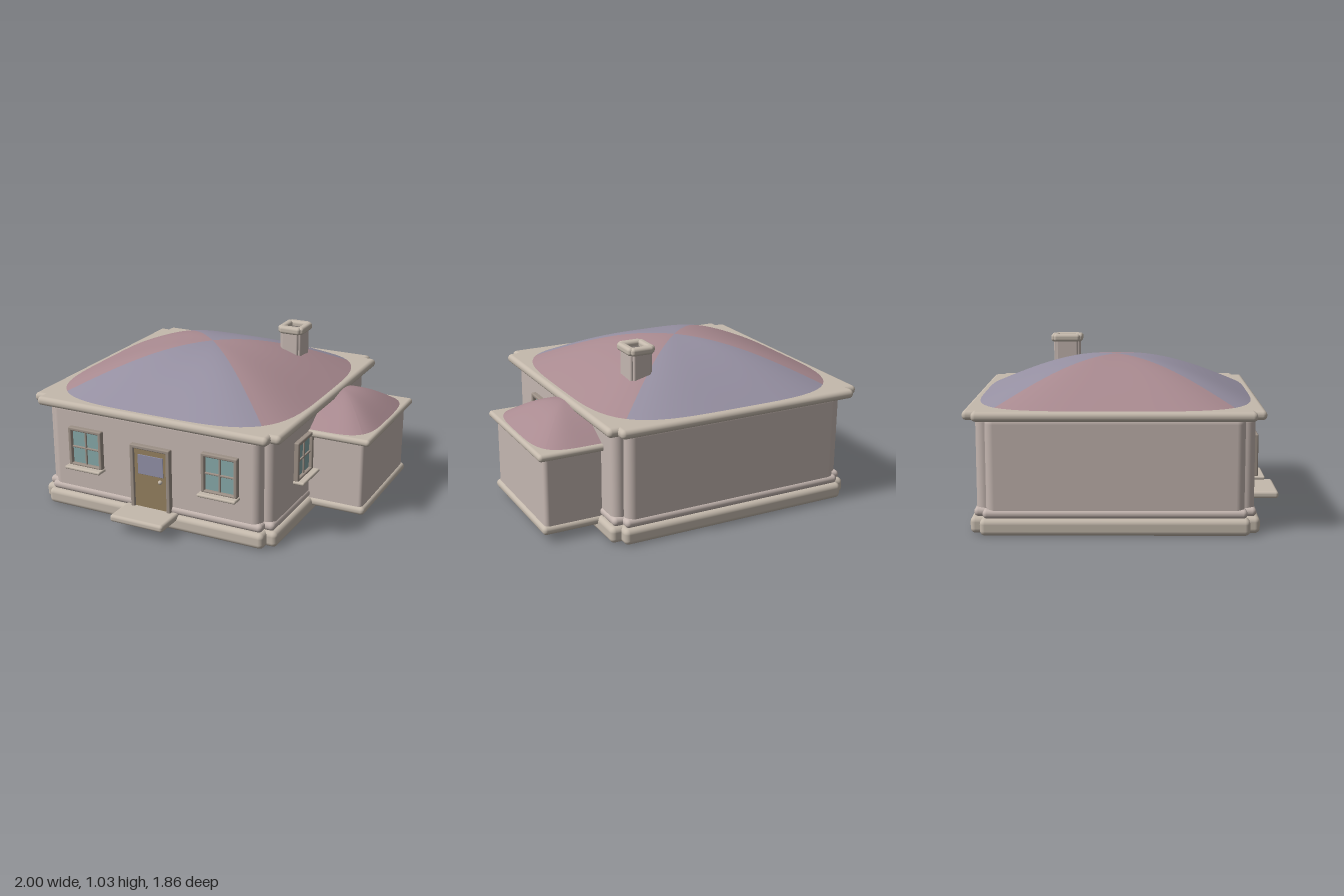
import * as THREE from 'three';
import { RoundedBoxGeometry } from 'three/addons/geometries/RoundedBoxGeometry.js';
import { ParametricGeometry } from 'three/addons/geometries/ParametricGeometry.js';

const paint = (color) => new THREE.MeshStandardMaterial({ color });
const wallMat = paint(0xc4b6b0);
const trimMat = paint(0xc4b9ac);
const frameMat = paint(0x9c9086);
const redRoof = paint(0xa98a90);
const blueRoof = paint(0x9690a2);
const glassMat = paint(0x86a8a8);
const doorMat = paint(0x94805f);
const paneMat = paint(0x9190a6);
const darkMat = paint(0x77706c);

// Rounded block given by its limits on each axis
function block(parent, name, [x0, x1], [y0, y1], [z0, z1], r, mat) {
  const w = x1 - x0, h = y1 - y0, d = z1 - z0;
  const radius = Math.min(r, w * 0.49, h * 0.49, d * 0.49);
  const mesh = new THREE.Mesh(new RoundedBoxGeometry(w, h, d, 4, radius), mat);
  mesh.name = name;
  mesh.position.set((x0 + x1) / 2, (y0 + y1) / 2, (z0 + z1) / 2);
  parent.add(mesh);
  return mesh;
}

// Two crossed blocks make a plan with stepped corners
function crossed(parent, name, x, y, z, step, r, mat) {
  const g = new THREE.Group();
  g.name = name;
  block(g, name + 'Wide', x, y, [z[0] + step, z[1] - step], r, mat);
  block(g, name + 'Deep', [x[0] + step, x[1] - step], y, z, r, mat);
  parent.add(g);
}

// Four-sided domed roof over a rounded square
function domedRoof(name, cx, cz, rx, rz, y0, height, mats) {
  const g = new THREE.Group();
  g.name = name;
  for (let k = 0; k < 4; k++) {
    const geo = new ParametricGeometry((u, v, p) => {
      const a = (k + u - 0.5) * Math.PI / 2;
      const c = Math.cos(a), s = Math.sin(a);
      const r = v * Math.pow(c ** 4 + s ** 4, -0.25);
      p.set(rx * r * c, height * Math.cos(v * Math.PI / 2), rz * r * s);
    }, 24, 20);
    geo.computeVertexNormals();
    const side = new THREE.Mesh(geo, mats[k % 2]);
    side.name = name + 'Side';
    g.add(side);
  }
  g.position.set(cx, y0, cz);
  return g;
}

// Window facing +z, centred on x, with its back on z = 0
function makeWindow() {
  const g = new THREE.Group();
  g.name = 'window';
  const w = 0.118, y0 = 0.3, y1 = 0.55, t = 0.023;
  block(g, 'glass', [-w + 0.01, w - 0.01], [y0, y1 - 0.01], [-0.02, 0.008], 0.002, glassMat);
  for (const s of [-1, 1]) {
    const x = s * (w - t / 2);
    block(g, 'frameSide', [x - t / 2, x + t / 2], [y0, y1], [-0.02, 0.03], 0.008, frameMat);
  }
  block(g, 'frameTop', [-w, w], [y1 - t, y1], [-0.02, 0.03], 0.008, frameMat);
  block(g, 'frameBottom', [-w, w], [y0, y0 + t * 0.7], [-0.02, 0.03], 0.008, frameMat);
  block(g, 'uprightBar', [-0.006, 0.006], [y0, y1 - 0.01], [-0.01, 0.018], 0.004, frameMat);
  block(g, 'crossBar', [-w + 0.01, w - 0.01], [0.415, 0.427], [-0.01, 0.018], 0.004, frameMat);
  block(g, 'sill', [-w - 0.008, w + 0.008], [0.284, 0.304], [-0.02, 0.07], 0.009, trimMat);
  return g;
}

export function createModel() {
  const house = new THREE.Group();
  house.name = 'house';

  // Main body
  crossed(house, 'plinth', [-0.97, 0.64], [0.005, 0.102], [-0.9, 0.75], 0.06, 0.03, trimMat);
  crossed(house, 'baseBand', [-0.948, 0.618], [0.1, 0.152], [-0.88, 0.73], 0.055, 0.025, wallMat);
  crossed(house, 'walls', [-0.938, 0.608], [0.1, 0.69], [-0.868, 0.72], 0.06, 0.05, wallMat);
  crossed(house, 'eaves', [-1, 0.668], [0.665, 0.72], [-0.93, 0.775], 0.057, 0.026, trimMat);
  house.add(domedRoof('roof', -0.165, -0.077, 0.8, 0.815, 0.717, 0.236, [redRoof, blueRoof]));

  // Side annex
  const annex = new THREE.Group();
  annex.name = 'annex';
  block(annex, 'annexPlinth', [0.37, 0.978], [0.05, 0.102], [-0.655, 0.147], 0.024, trimMat);
  block(annex, 'annexWalls', [0.38, 0.96], [0.07, 0.54], [-0.64, 0.132], 0.025, wallMat);
  block(annex, 'annexEaves', [0.34, 1], [0.513, 0.555], [-0.677, 0.167], 0.02, trimMat);
  annex.add(domedRoof('annexRoof', 0.67, -0.255, 0.308, 0.398, 0.553, 0.147, [redRoof, redRoof]));
  house.add(annex);

  // Windows: two at the front, one beside the annex
  for (const x of [-0.622, 0.297]) {
    const win = makeWindow();
    win.position.set(x, 0, 0.72);
    house.add(win);
  }
  const sideWindow = makeWindow();
  sideWindow.rotation.y = Math.PI / 2;
  sideWindow.position.set(0.608, 0, 0.253);
  house.add(sideWindow);

  // Door with frame, pane and knob
  const door = new THREE.Group();
  door.name = 'door';
  for (const s of [-1, 1]) {
    const x = -0.165 + s * 0.123;
    block(door, 'doorJamb', [x - 0.013, x + 0.013], [0.1, 0.518], [0.7, 0.752], 0.007, frameMat);
  }
  block(door, 'doorLintel', [-0.301, -0.029], [0.494, 0.518], [0.7, 0.752], 0.007, frameMat);
  block(door, 'doorLeaf', [-0.28, -0.05], [0.11, 0.5], [0.7, 0.736], 0.004, doorMat);
  block(door, 'doorPane', [-0.252, -0.078], [0.33, 0.457], [0.72, 0.739], 0.002, paneMat);
  const knob = new THREE.Mesh(new THREE.SphereGeometry(0.013, 16, 12), trimMat);
  knob.name = 'doorKnob';
  knob.position.set(-0.094, 0.304, 0.747);
  door.add(knob);
  house.add(door);
  block(house, 'frontStep', [-0.347, 0.014], [0.07, 0.115], [0.6, 0.927], 0.018, trimMat);

  // Chimney with a rim around a dark opening
  const chimney = new THREE.Group();
  chimney.name = 'chimney';
  crossed(chimney, 'shaft', [0.193, 0.338], [0.74, 1.0], [-0.49, -0.318], 0.015, 0.012, wallMat);
  for (const [a, b] of [[-0.508, -0.455], [-0.355, -0.302]])
    block(chimney, 'capEnd', [0.196, 0.34], [0.987, 1.035], [a, b], 0.018, trimMat);
  for (const [a, b] of [[0.18, 0.226], [0.31, 0.356]])
    block(chimney, 'capSide', [a, b], [0.987, 1.035], [-0.49, -0.32], 0.018, trimMat);
  block(chimney, 'flue', [0.21, 0.326], [0.98, 1.004], [-0.475, -0.335], 0.002, darkMat);
  house.add(chimney);

  return house;
}
